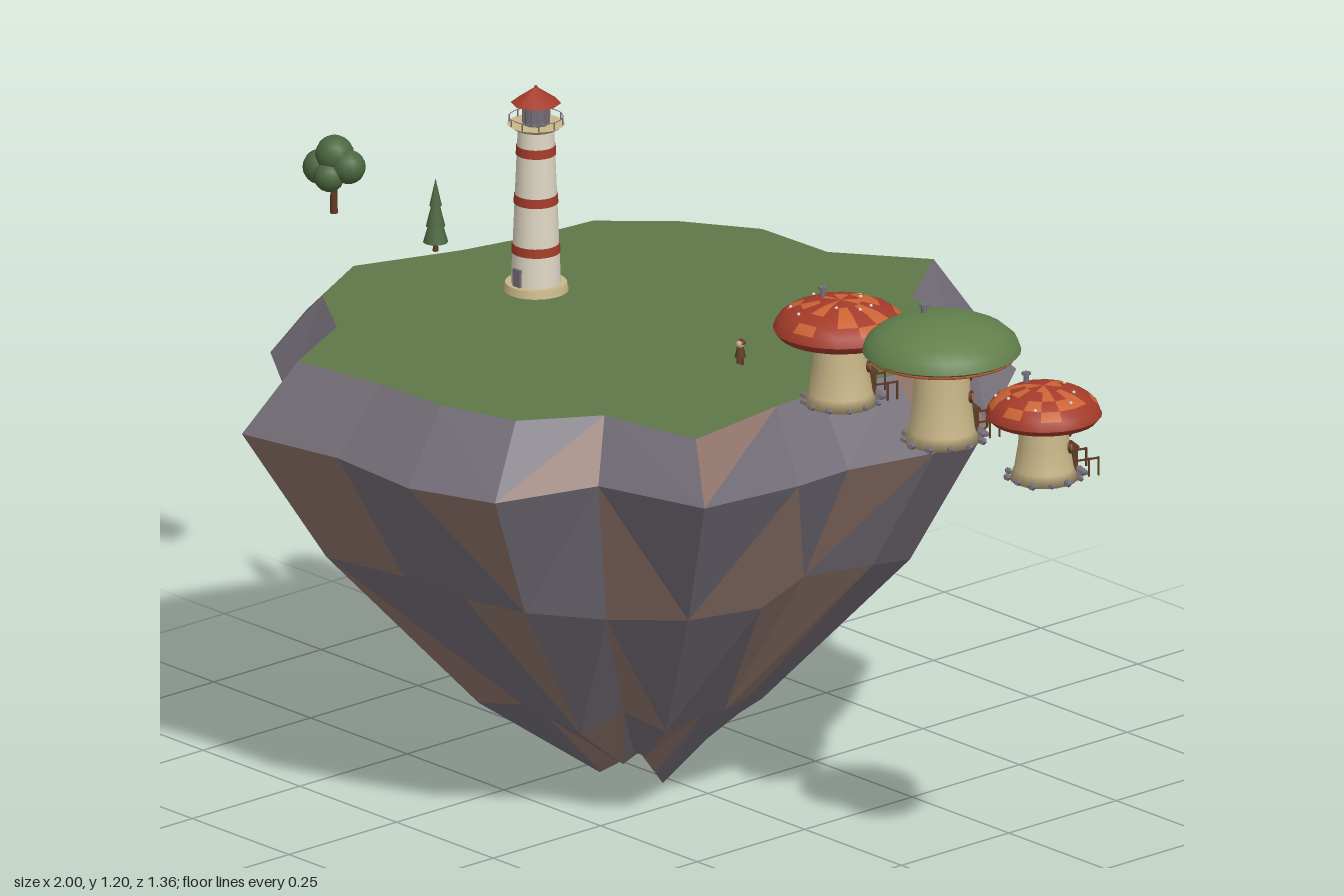
import * as THREE from 'three';

const mat = (name, color, extra = {}) => Object.assign(new THREE.MeshStandardMaterial({ color, ...extra }), { name });
const grass = mat('grass green', 0x5f7648);
const grey = mat('rock grey', 0x746e78, { flatShading: true });
const brown = mat('rock brown', 0x8e736a, { flatShading: true });
const leaf = mat('leaf green', 0x4b673f);
const cream = mat('cream', 0xdfd7c4);
const red = mat('red', 0xa43b2a, { side: THREE.DoubleSide });
const orange = mat('orange', 0xcb6335, { side: THREE.DoubleSide });
const tan = mat('tan', 0xc9b688);
const wood = mat('wood', 0x5e3b24);
const capGreen = mat('cap green', 0x617f4b, { side: THREE.DoubleSide });

const GROUND = 0.822;

function seeded(seed) {
  return () => {
    seed = (seed * 16807) % 2147483647;
    return seed / 2147483647;
  };
}

function add(parent, name, geometry, material, x = 0, y = 0, z = 0) {
  const mesh = new THREE.Mesh(geometry, material);
  mesh.name = name;
  mesh.position.set(x, y, z);
  parent.add(mesh);
  return mesh;
}

function group(parent, name, x, y, z) {
  const g = new THREE.Group();
  g.name = name;
  g.position.set(x, y, z);
  parent.add(g);
  return g;
}

const cyl = (top, bottom, h, n = 20) => new THREE.CylinderGeometry(top, bottom, h, n);
const ball = (r) => new THREE.SphereGeometry(r, 14, 10);
const lathe = (profile, n) => new THREE.LatheGeometry(profile.map((p) => new THREE.Vector2(...p)), n);

function soup(triangles) {
  const g = new THREE.BufferGeometry().setFromPoints(triangles.flat());
  g.computeVertexNormals();
  return g;
}

// Faceted floating rock: one rim outline (x, z, height), scaled into rings down to a jagged tip
function island(root) {
  const outline = [
    [-.055, -.685, .69], [.085, -.5, .71], [.275, -.47, .74], [.375, -.315, .7], [.41, -.16, .695], [.385, .02, .7],
    [.39, .14, .7], [.43, .395, .73], [.2, .435, .72], [.105, .59, .7], [-.065, .64, .695], [-.24, .645, .705],
    [-.455, .675, .7], [-.555, .48, .7], [-.715, .375, .71], [-.805, .21, .725], [-.73, -.015, .71], [-.7, -.16, .72],
    [-.685, -.33, .7], [-.57, -.455, .715], [-.42, -.55, .7], [-.23, -.555, .72]];
  const rnd = seeded(77);
  const jitter = (amount) => (rnd() * 2 - 1) * amount;
  // scale, height, scale jitter, height jitter, centre z
  const levels = [[.86, GROUND, 0, 0, 0], [1, null, 0, 0, 0], [.775, .455, .03, .02, .005],
    [.38, .18, .045, .025, .015], [.125, .035, .03, .028, .02]];
  const rings = levels.map(([s, level, js, jy, cz]) => outline.map(([x, z, rimY]) => {
    const k = s + jitter(js);
    return new THREE.Vector3(-.17 + (x + .17) * k + cz * .7, (level ?? rimY) + jitter(jy), cz + z * k);
  }));
  const last = rings[4];
  last[5].y = 0;
  // per column: which of the two facets is brown (1 first, 2 second, 3 both)
  const brownFacets = ['0003001020003010000120', '2030122201030102010201', '1020310201023010200120', '0102003010200310020100'];
  const n = outline.length;
  const sets = [[], []];
  brownFacets.forEach((row, r) => {
    const a = rings[r], b = rings[r + 1];
    for (let i = 0; i < n; i++) {
      const j = (i + 1) % n;
      const pair = i % 2
        ? [[a[i], a[j], b[i]], [a[j], b[j], b[i]]]
        : [[a[i], a[j], b[j]], [a[i], b[j], b[i]]];
      pair.forEach((t, k) => sets[(+row[i] >> k) & 1].push(t));
    }
  });
  const top = new THREE.Vector3(-.17, GROUND, 0), tip = new THREE.Vector3(-.155, .04, .02);
  const lawn = [];
  for (let i = 0; i < n; i++) {
    const j = (i + 1) % n;
    lawn.push([top, rings[0][j], rings[0][i]]);
    sets[1].push([tip, last[i], last[j]]);
  }
  add(root, 'greyRock', soup(sets[0]), grey);
  add(root, 'brownRock', soup(sets[1]), brown);
  add(root, 'lawn', soup(lawn), grass);
}

// Banded tower with gallery, lantern and pointed roof
function lighthouse(root) {
  const g = group(root, 'lighthouse', -.417, GROUND, .025);
  const radius = (y) => .044 - .042 * y;
  add(g, 'plinth', cyl(.054, .057, .014, 24), tan, 0, .007, 0);
  add(g, 'tower', cyl(radius(.3), radius(0), .3, 24), cream, 0, .15, 0);
  for (const y of [.078, .168, .257]) {
    add(g, 'redBand', cyl(radius(y) + .001, radius(y) + .002, .016, 24), red, 0, y, 0);
  }
  add(g, 'door', new THREE.BoxGeometry(.018, .032, .006), grey, 0, .03, .043);
  add(g, 'gallery', cyl(.05, .038, .008, 24), tan, 0, .3, 0);
  add(g, 'lantern', cyl(.023, .023, .04, 12), grey, 0, .323, 0);
  for (let i = 0; i < 10; i++) {
    const a = i / 10 * Math.PI * 2;
    const x = Math.cos(a), z = Math.sin(a);
    add(g, 'railPost', cyl(.0014, .0014, .015, 6), grey, x * .047, .31, z * .047);
    add(g, 'lanternBar', cyl(.0015, .0015, .04, 6), grey, x * .023, .323, z * .023);
  }
  add(g, 'rail', new THREE.TorusGeometry(.047, .0007, 6, 28), grey, 0, .317, 0).rotation.x = Math.PI / 2;
  add(g, 'roof', new THREE.ConeGeometry(.044, .03, 8), red, 0, .357, 0);
  add(g, 'finial', ball(.003), red, 0, .371, 0);
}

// Domed cap; above a plain lip the patch material marks scattered quads
function mushroomCap(r, height, base, patch, rnd) {
  const profile = [];
  const rows = 5;
  for (let i = 0; i <= rows; i++) {
    const a = i / rows * Math.PI / 2;
    profile.push([r * Math.cos(a), height * Math.sin(a)]);
  }
  const geo = lathe(profile, base === patch ? 28 : 16);
  // each lathe quad takes six indices
  for (let q = 0; q < geo.index.count / 6; q++) {
    geo.addGroup(q * 6, 6, q % rows > 0 && rnd() < 0.33 ? 1 : 0);
  }
  return new THREE.Mesh(geo, [base, patch]);
}

// Mushroom cottage with chimney, back door, windows, stones and a fence
function mushroom(root, x, r, rim, height, droop, stem, base, patch, seed) {
  const g = group(root, 'mushroomHouse', x, GROUND, .025);
  const rnd = seeded(seed);
  add(g, 'stem', lathe([[0, 0], [stem * 1.15, 0], [stem, .02], [stem * .86, rim * .55], [stem * .8, rim]], 20), tan);
  const cap = mushroomCap(r, height, base, patch, rnd);
  cap.name = 'cap';
  cap.position.y = rim;
  g.add(cap);
  add(g, 'capUnderside', lathe([[stem * .7, rim - droop * .5], [r * .72, rim - droop], [r * .92, rim - droop * .7], [r, rim]], 28), base);
  const cy = rim + height * .93;
  add(g, 'chimney', cyl(.005, .005, .03, 8), grey, -.042, cy, .003);
  add(g, 'chimneyTop', cyl(.008, .008, .004, 8), grey, -.042, cy + .015, .003);
  if (base === capGreen) {
    add(g, 'rimBand', new THREE.TorusGeometry(r * .91, .005, 6, 36), orange, 0, rim - .006, 0).rotation.x = Math.PI / 2;
  } else {
    for (let i = 0; i < 8; i++) {
      const a = i * 2.4, t = .35 + .9 * rnd();
      add(g, 'capSpot', ball(.003), cream,
        r * Math.cos(t) * Math.cos(a), rim + height * Math.sin(t), r * Math.cos(t) * Math.sin(a));
    }
  }
  for (let i = 0; i < 12; i++) {
    const a = i / 12 * Math.PI * 2, k = stem * (1.15 + .15 * rnd());
    add(g, 'footStone', new THREE.DodecahedronGeometry(.005 + .003 * rnd()), grey, Math.cos(a) * k, .006, Math.sin(a) * k);
  }

  // entrance faces the back, turned slightly to the left
  const front = group(g, 'entrance', 0, 0, 0);
  front.rotation.y = Math.PI * .9;
  add(front, 'door', new THREE.BoxGeometry(.028, .045, .008), wood, 0, .026, stem);
  add(front, 'doorHood', new THREE.BoxGeometry(.036, .004, .016), wood, 0, .053, stem);
  add(front, 'doorKnob', ball(.002), orange, .008, .025, stem + .005);
  add(front, 'step', new THREE.BoxGeometry(.036, .006, .022), grey, 0, .003, stem + .014);
  for (const side of [-1, 1]) {
    for (const out of [.022, .04]) {
      add(front, 'fencePost', new THREE.BoxGeometry(.003, .034, .003), wood, side * .026, .017, stem + out);
    }
    add(front, 'fenceRail', new THREE.BoxGeometry(.003, .003, .04), wood, side * .026, .032, stem + .021);
  }
  for (const [a, y] of [[-.6, .5], [0, .68], [.6, .5]]) {
    const side = group(front, 'windowSide', 0, rim * y, 0);
    side.rotation.y = a;
    add(side, 'windowFrame', cyl(.011, .011, .008, 14), wood, 0, 0, stem * .86).rotation.x = Math.PI / 2;
    add(side, 'windowPane', cyl(.006, .006, .008, 14), orange, 0, 0, stem * .86 + .001).rotation.x = Math.PI / 2;
  }
}

function trees(root) {
  // Round broadleaf tree
  const t = group(root, 'roundTree', -.943, GROUND, .022);
  add(t, 'trunk', cyl(.005, .007, .08, 8), wood, 0, .04, 0);
  for (const [x, y, z, r] of [[-.026, .08, .008, .031], [.029, .09, -.008, .03], [.002, .108, 0, .034], [.008, .073, .018, .027]]) {
    add(t, 'foliage', ball(r), leaf, x, y, z);
  }
  // Slim conifer
  const c = group(root, 'conifer', -.68, GROUND, .022);
  add(c, 'trunk', cyl(.004, .005, .025, 8), wood, 0, .012, 0);
  for (const [r, h, y] of [[.022, .075, .054], [.017, .07, .08], [.011, .05, .108]]) {
    add(c, 'needles', new THREE.ConeGeometry(r, h, 10), leaf, 0, y, 0);
  }
}

// Tiny standing villager
function villager(root) {
  const g = group(root, 'villager', .108, GROUND, .022);
  for (const x of [-.005, .005]) add(g, 'leg', cyl(.003, .003, .014, 8), wood, x, .007, 0);
  add(g, 'body', cyl(.006, .01, .018, 10), wood, 0, .022, 0);
  add(g, 'head', ball(.0075), tan, 0, .037, 0);
  add(g, 'hood', new THREE.SphereGeometry(.0085, 12, 6, 0, Math.PI * 2, 0, Math.PI / 2), wood, 0, .037, -.002);
}

export function createModel() {
  const root = new THREE.Group();
  root.name = 'floatingIsland';
  island(root);
  lighthouse(root);
  mushroom(root, .37, .117, .138, .05, .018, .056, red, orange, 11);
  mushroom(root, .632, .138, .165, .061, .01, .058, capGreen, capGreen, 23);
  mushroom(root, .896, .101, .118, .052, .014, .052, red, orange, 37);
  trees(root);
  villager(root);
  return root;
}
